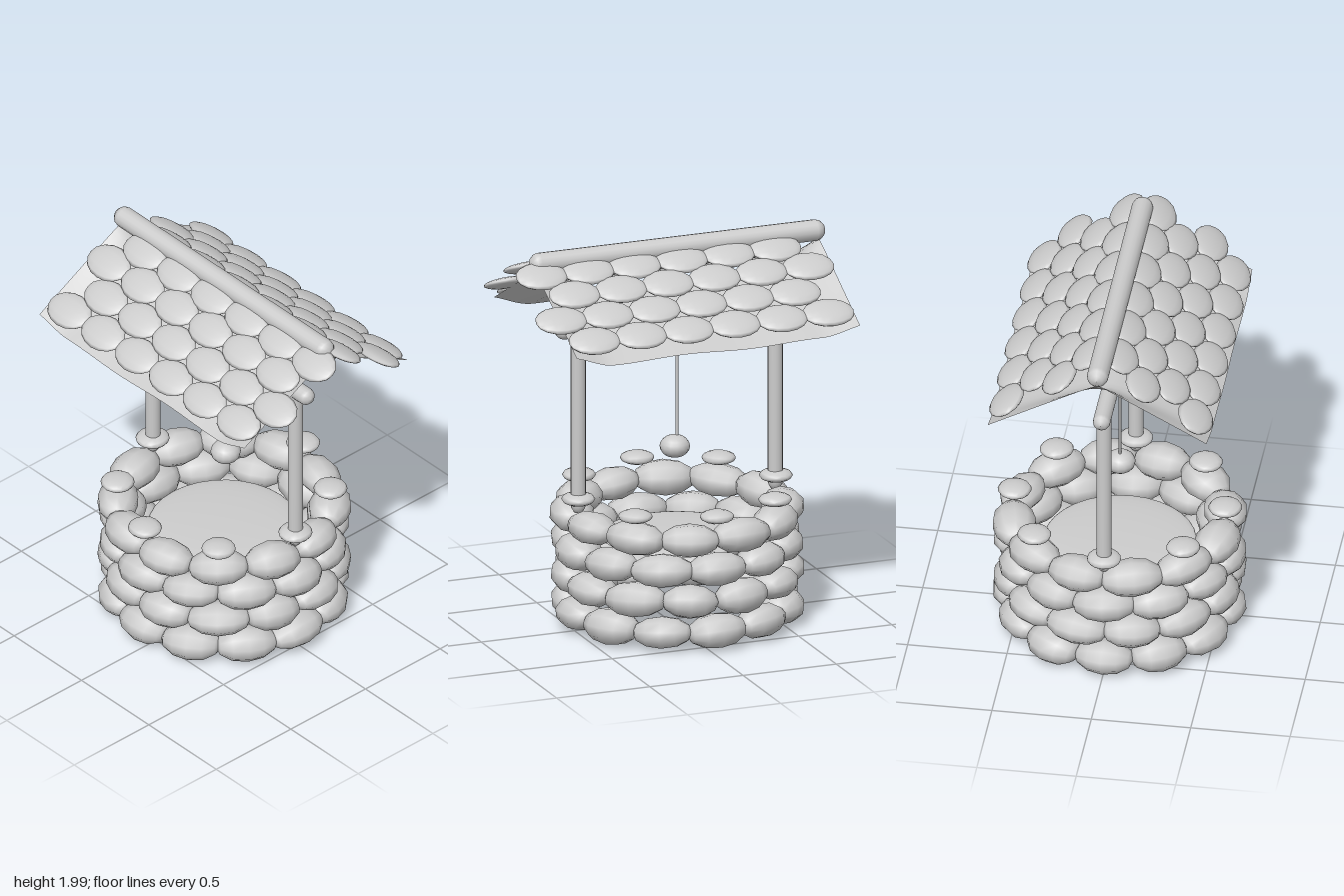
import * as THREE from 'three';

const CX = -0.05; // axis of the well

export function createModel() {
  const group = new THREE.Group();
  const clay = new THREE.MeshStandardMaterial({ color: 0xcccccc, side: THREE.DoubleSide });
  clay.name = 'light grey clay';

  let seed = 7;
  const rand = () => (seed = (seed * 16807) % 2147483647) / 2147483647;
  const jitter = (a) => (rand() * 2 - 1) * a;

  const add = (name, geometry, x, y, z) => {
    const mesh = new THREE.Mesh(geometry, clay);
    mesh.name = name;
    mesh.position.set(x, y, z);
    group.add(mesh);
    return mesh;
  };

  // Pebbles: low spheres with their poles at the two long ends
  const pebble = new THREE.SphereGeometry(1, 12, 8).rotateZ(Math.PI / 2);
  const roughPebble = new THREE.SphereGeometry(1, 10, 6).rotateZ(Math.PI / 2);

  // Wall: four staggered courses of twelve stones
  [0.1, 0.262, 0.422, 0.58].forEach((y, row) => {
    for (let i = 0; i < 12; i++) {
      const a = ((i + (row % 2) * 0.5) / 12) * Math.PI * 2;
      const stone = add('wallStone', roughPebble, CX + Math.sin(a) * 0.528, y, Math.cos(a) * 0.528);
      stone.rotation.set(jitter(0.12), a + jitter(0.06), jitter(0.06), 'YXZ');
      stone.scale.set(0.154 + jitter(0.01), 0.086 + jitter(0.006), 0.11 + jitter(0.005));
    }
  });

  // Small flat stones on the rim; two of them collar the posts
  for (let i = 0; i < 8; i++) {
    const a = (i / 8) * Math.PI * 2;
    const cap = add('rimStone', pebble, CX + Math.sin(a) * 0.53, 0.695, Math.cos(a) * 0.53);
    cap.rotation.y = a;
    cap.scale.set(0.085, 0.032, 0.085);
  }

  // Gently domed water surface inside the wall
  add('water', new THREE.SphereGeometry(1, 32, 8, 0, Math.PI * 2, 0, Math.PI / 2), CX, 0.445, 0)
    .scale.set(0.38, 0.03, 0.38);

  // Rounded pole along y, from a lathe profile
  const pole = (length, r, bevel) => {
    const h = length / 2;
    return new THREE.LatheGeometry([
      [0, -h], [r * 0.55, -h + bevel * 0.15], [r * 0.9, -h + bevel * 0.55], [r, -h + bevel],
      [r, h - bevel], [r * 0.9, h - bevel * 0.55], [r * 0.55, h - bevel * 0.15], [0, h],
    ].map(([x, y]) => new THREE.Vector2(x, y)), 16);
  };

  // Posts, crossbar and ridge pole
  for (const x of [-0.577, 0.48]) add('post', pole(0.99, 0.038, 0.05), x, 1.115, 0);
  add('crossbar', pole(1.3, 0.044, 0.04), CX, 1.58, 0).rotation.z = Math.PI / 2;
  add('ridgePole', pole(1.58, 0.054, 0.05), CX, 1.946, 0).rotation.z = Math.PI / 2;

  // Rope and its weight
  add('rope', new THREE.CylinderGeometry(0.007, 0.007, 0.62, 8), CX, 1.26, 0);
  add('weight', new THREE.SphereGeometry(1, 14, 10), -0.038, 0.91, 0).scale.set(0.076, 0.058, 0.076);

  // Roof cloth: gable sheet that drops away just inside its two ends
  const cloth = new THREE.PlaneGeometry(1.52, 1.1, 40, 24).rotateX(-Math.PI / 2);
  const p = cloth.attributes.position;
  for (let i = 0; i < p.count; i++) {
    const x = p.getX(i), d = Math.abs(p.getZ(i)) / 0.55;
    const inset = THREE.MathUtils.smoothstep(0.76 - Math.abs(x), -0.05, 0.2);
    const sag = THREE.MathUtils.lerp(0.16, 0.055, Math.sqrt(d)) * inset;
    p.setY(i, 1.92 - 0.305 * d - sag + 0.006 * Math.sin(x * 9) * d);
  }
  cloth.computeVertexNormals();
  add('roofCloth', cloth, CX, 0, 0);

  // Shingles: four staggered rows of six on each slope
  const rows = [[0.475, 1.668], [0.342, 1.75], [0.21, 1.832], [0.082, 1.905]];
  for (const side of [1, -1]) {
    rows.forEach(([z, y], row) => {
      for (let i = 0; i < 6; i++) {
        const x = -0.67 + i * 0.251 + (row % 2) * 0.125;
        const shingle = add('shingle', pebble, x, y, side * z);
        shingle.rotation.x = side * 0.48;
        shingle.scale.set(0.135, 0.027, 0.097);
      }
    });
  }

  return group;
}
